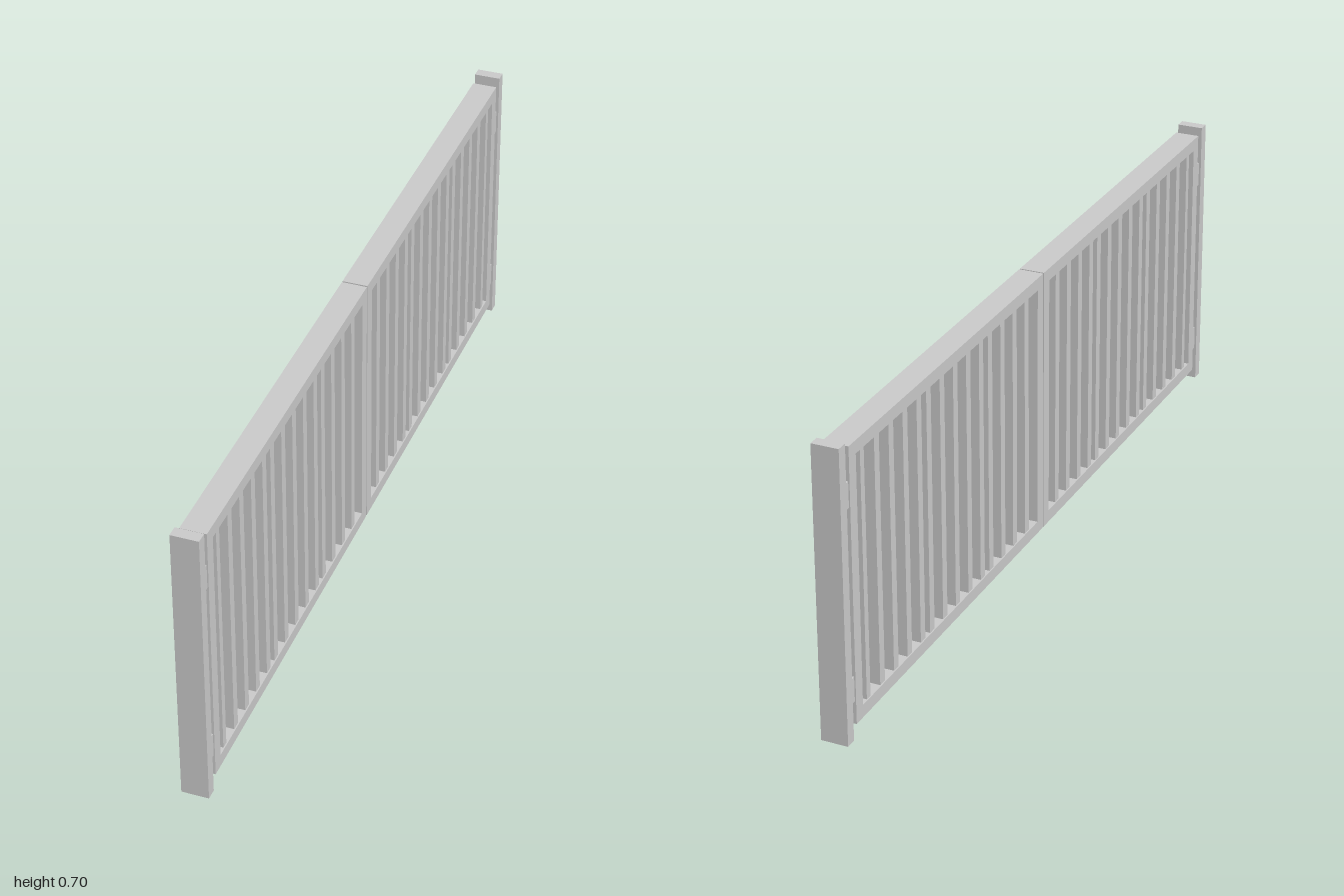
import * as THREE from 'three';

const material = new THREE.MeshStandardMaterial({ color: 0xcccccc, flatShading: true });

// Box spanning -w/2..w/2 in x, y0..y1 and z0..z1
function bar(name, w, y0, y1, z0, z1) {
  const mesh = new THREE.Mesh(new THREE.BoxGeometry(w, y1 - y0, Math.abs(z1 - z0)), material);
  mesh.name = name;
  mesh.position.set(0, (y0 + y1) / 2, (z0 + z1) / 2);
  return mesh;
}

export function createModel() {
  const model = new THREE.Group();
  model.name = 'doubleGate';

  const postWidth = 0.064, leafWidth = 0.06, slatWidth = 0.054;
  const bottom = 0.03, top = 0.685, rail = 0.03;
  const inner = 0.002, outer = 0.955;

  for (const s of [1, -1]) {
    // Post at the outer end
    model.add(bar('post', postWidth, 0, 0.7, s * 0.973, s));

    // Hinges between post and leaf
    for (const y of [0.085, 0.545]) {
      model.add(bar('hinge', slatWidth, y, y + 0.06, s * outer, s * 0.973));
    }

    // Leaf frame
    const leaf = new THREE.Group();
    leaf.name = 'gateLeaf';
    leaf.add(
      bar('bottomRail', leafWidth, bottom, bottom + rail, s * inner, s * outer),
      bar('topRail', leafWidth, top - rail, top, s * inner, s * outer),
      bar('outerStile', leafWidth, bottom + rail, top - rail, s * (outer - rail), s * outer),
      bar('innerStile', leafWidth, bottom + rail, top - rail, s * inner, s * (inner + rail))
    );

    // Vertical slats in runs of five, the last run cut short by the inner stile
    for (let i = 0; i < 14; i++) {
      const z = 0.893 - Math.floor(i / 5) * 0.306 - (i % 5) * 0.065;
      const t = i === 0 ? 0.017 : 0.022;
      leaf.add(bar('slat', slatWidth, bottom + rail, top - rail, s * (z - t / 2), s * (z + t / 2)));
    }
    model.add(leaf);
  }

  // Strip closing the joint between the leaves
  model.add(bar('meetingStrip', slatWidth, 0.045, 0.67, -inner, inner));
  return model;
}
